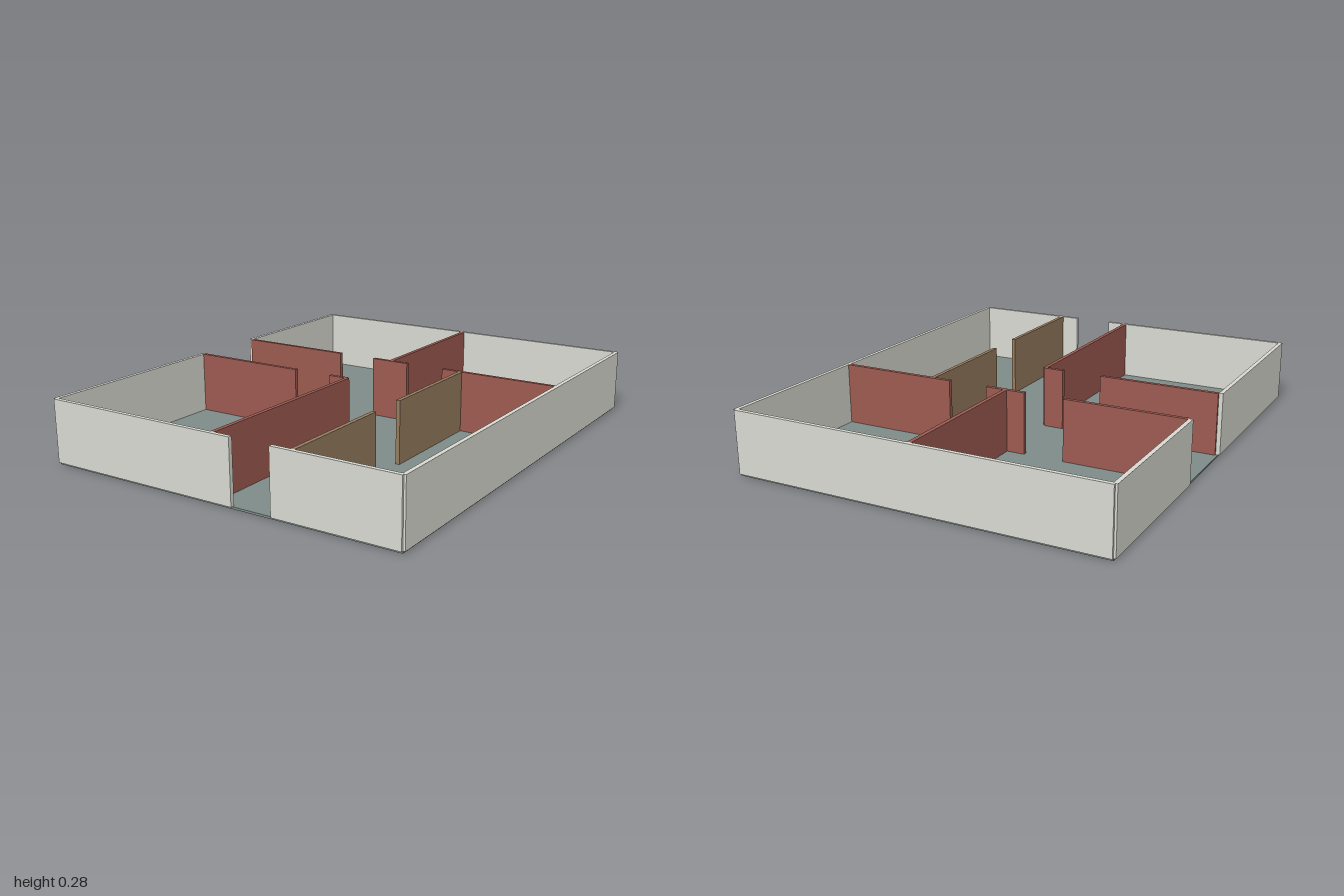
import * as THREE from 'three';

const M = 2 / 22.2;        // plan module: the floor is 18 x 22 modules
const FLOOR = 0.1;         // slab thickness, in modules
const HEIGHT = 3;          // wall height
const THICK = 0.2;         // wall thickness
const INNER = THICK / 2;   // centre line of an outer wall to its inner face

const material = (color) => new THREE.MeshStandardMaterial({ color });

export function createModel() {
  const model = new THREE.Group();
  const outer = material(0xd9d9d2);
  const red = material(0x9c5a50);
  const tan = material(0x957b5e);
  const slab = material(0x7f8c88);

  const box = (name, mat, w, h, d, x, y, z) => {
    const mesh = new THREE.Mesh(new THREE.BoxGeometry(w * M, h * M, d * M), mat);
    mesh.name = name;
    mesh.position.set(x * M, y * M, z * M);
    model.add(mesh);
  };

  const wallY = FLOOR + HEIGHT / 2;
  // Wall running along x from a to b, on the line z
  const wallX = (name, mat, z, a, b) =>
    box(name, mat, b - a, HEIGHT, THICK, (a + b) / 2, wallY, z);
  // Wall running along z from a to b, on the line x
  const wallZ = (name, mat, x, a, b) =>
    box(name, mat, THICK, HEIGHT, b - a, x, wallY, (a + b) / 2);

  // Floor slab
  box('floor', slab, 18, FLOOR, 22, 0, FLOOR / 2, 0);

  // Outer walls, with the front doorway and the open corridor end on the right
  wallX('backWall', outer, -11, -9, 9);
  wallX('frontWallRight', outer, 11, -9, 1);
  wallX('frontWallLeft', outer, 11, 3, 9);
  wallZ('leftWall', outer, 9, -11, 11);
  wallZ('rightWallBack', outer, -9, -11, -3);
  wallZ('rightWallFront', outer, -9, 1, 11);

  // Corridor walls, broken by doorways
  wallX('corridorBackWallRight', red, -3, -9 + INNER, -3);
  wallX('corridorBackWallMiddle', red, -3, -1, 1);
  wallX('corridorBackWallLeft', red, -3, 3, 9 - INNER);
  wallX('corridorFrontWallRight', red, 1, -9 + INNER, -3);
  wallX('corridorFrontWallMiddle', red, 1, -1, 0);

  // Dividing walls on the centre line
  wallZ('backDivider', red, 0, -11 + INNER, -3);
  wallZ('frontDivider', red, 0, 1, 11 - INNER);

  // Light partition with a doorway
  wallZ('partitionBack', tan, 4, -3 + INNER, 3);
  wallZ('partitionFront', tan, 4, 5, 11 - INNER);

  return model;
}
